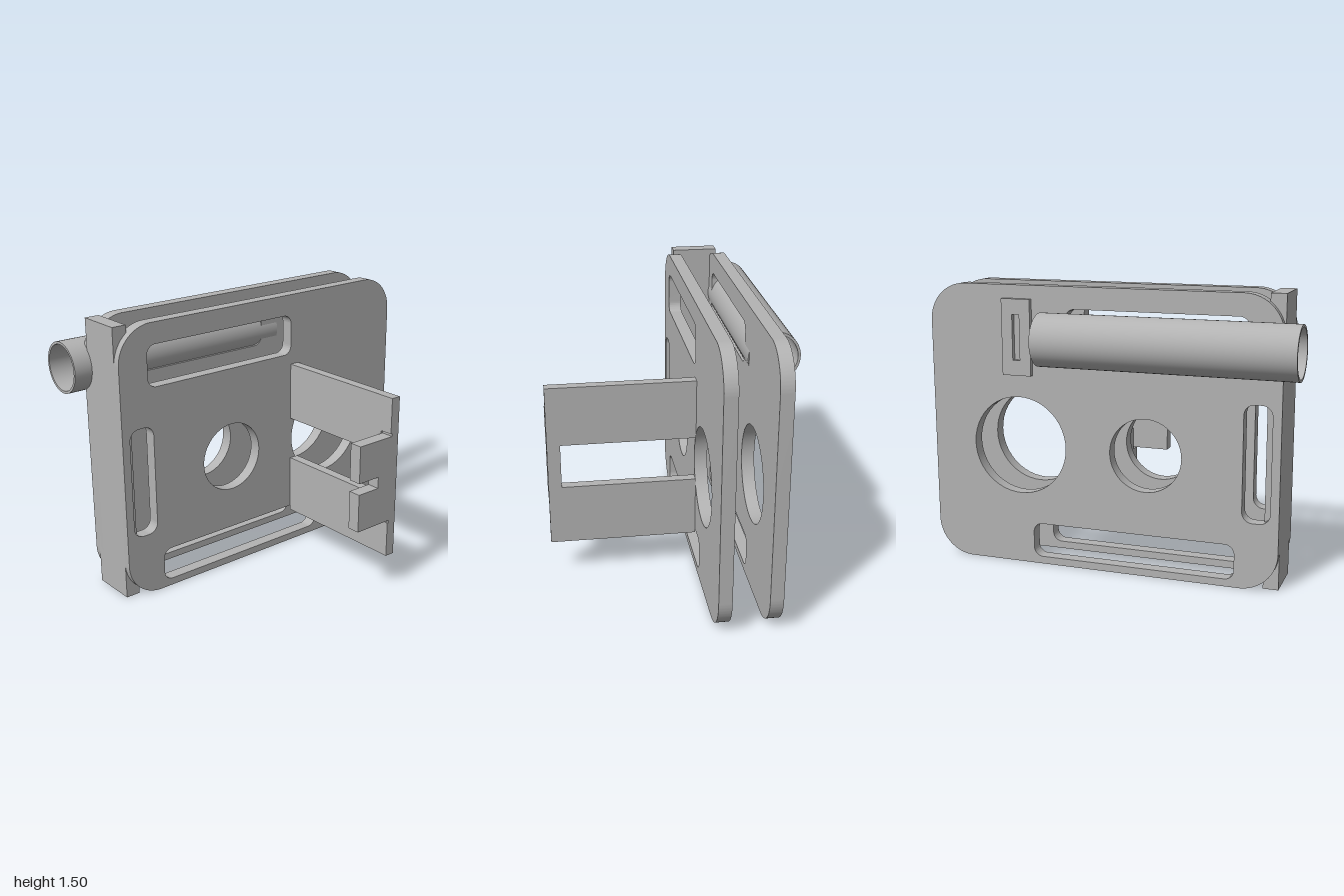
import * as THREE from 'three';
import { toCreasedNormals } from 'three/addons/utils/BufferGeometryUtils.js';

export function createModel() {
  const model = new THREE.Group();
  const grey = new THREE.MeshStandardMaterial({ color: 0xb3b3b3 });
  grey.name = 'grey';

  const add = (name, geometry) => {
    const mesh = new THREE.Mesh(geometry, grey);
    mesh.name = name;
    model.add(mesh);
    return mesh;
  };

  const box = (name, x0, x1, y0, y1, z0, z1) => {
    const g = new THREE.BoxGeometry(x1 - x0, y1 - y0, z1 - z0);
    g.translate((x0 + x1) / 2, (y0 + y1) / 2, (z0 + z1) / 2);
    return add(name, g);
  };

  // Extrude with crisp edges and smooth curved walls
  const extrude = (shape, depth) => toCreasedNormals(
    new THREE.ExtrudeGeometry(shape, { depth, bevelEnabled: false, curveSegments: 24 }), 0.6);

  // Rounded rectangle traced onto a Shape or Path
  const rounded = (p, x0, x1, y0, y1, r) => {
    p.absarc(x1 - r, y0 + r, r, -Math.PI / 2, 0);
    p.absarc(x1 - r, y1 - r, r, 0, Math.PI / 2);
    p.absarc(x0 + r, y1 - r, r, Math.PI / 2, Math.PI);
    p.absarc(x0 + r, y0 + r, r, Math.PI, Math.PI * 1.5);
    p.closePath();
    return p;
  };
  const circle = (x, y, r) => new THREE.Path().absarc(x, y, r, 0, Math.PI * 2);

  // Twin plates with two round openings and three slots
  const plate = rounded(new THREE.Shape(), -0.9, 1, 0, 1.5, 0.2);
  plate.holes.push(
    circle(-0.2, 0.65, 0.193),
    circle(0.5, 0.65, 0.262),
    rounded(new THREE.Path(), -0.73, 0.23, 1.16, 1.385, 0.05),
    rounded(new THREE.Path(), -0.855, -0.71, 0.35, 0.955, 0.055),
    rounded(new THREE.Path(), -0.675, 0.43, 0.04, 0.225, 0.05));
  const plateGeometry = extrude(plate, 0.07);
  add('frontPlate', plateGeometry).position.z = -0.2;
  add('backPlate', plateGeometry).position.z = -0.46;

  // Side bar joining the plates
  box('sideBar', -0.9, -0.82, 0, 1.5, -0.425, -0.17);

  // Hollow tube along x at the back
  const ring = new THREE.Shape().absarc(-0.522, 1.232, 0.138, 0, Math.PI * 2);
  ring.holes.push(circle(-0.522, 1.232, 0.124));
  const tube = extrude(ring, 1.345);
  tube.rotateY(-Math.PI / 2);
  tube.translate(0.345, 0, 0);
  add('tube', tube);

  // Small slotted pad on the back plate
  const pad = rounded(new THREE.Shape(), 0.418, 0.578, 1.03, 1.43, 0.002);
  pad.holes.push(rounded(new THREE.Path(), 0.478, 0.518, 1.11, 1.35, 0.002));
  add('slottedPad', extrude(pad, 0.025)).position.z = -0.485;

  // Bracket: two arms reaching forward
  box('upperArm', 0.23, 0.285, 0.775, 1.1, -0.13, 0.59);
  box('lowerArm', 0.23, 0.285, 0.2, 0.53, -0.13, 0.59);

  // Bracket end with relief cuts and a notched side tab
  const end = new THREE.Shape([
    [0.285, 0.2], [0.285, 1.1], [0.23, 1.1], [0.23, 0.905], [0.24, 0.905], [0.24, 0.89],
    [0.01, 0.89], [0.01, 0.685], [0.148, 0.685], [0.148, 0.622], [0.01, 0.622],
    [0.01, 0.41], [0.24, 0.41], [0.24, 0.395], [0.23, 0.395], [0.23, 0.2],
  ].map(([x, y]) => new THREE.Vector2(x, y)));
  add('bracketEnd', extrude(end, 0.07)).position.z = 0.59;

  return model;
}
